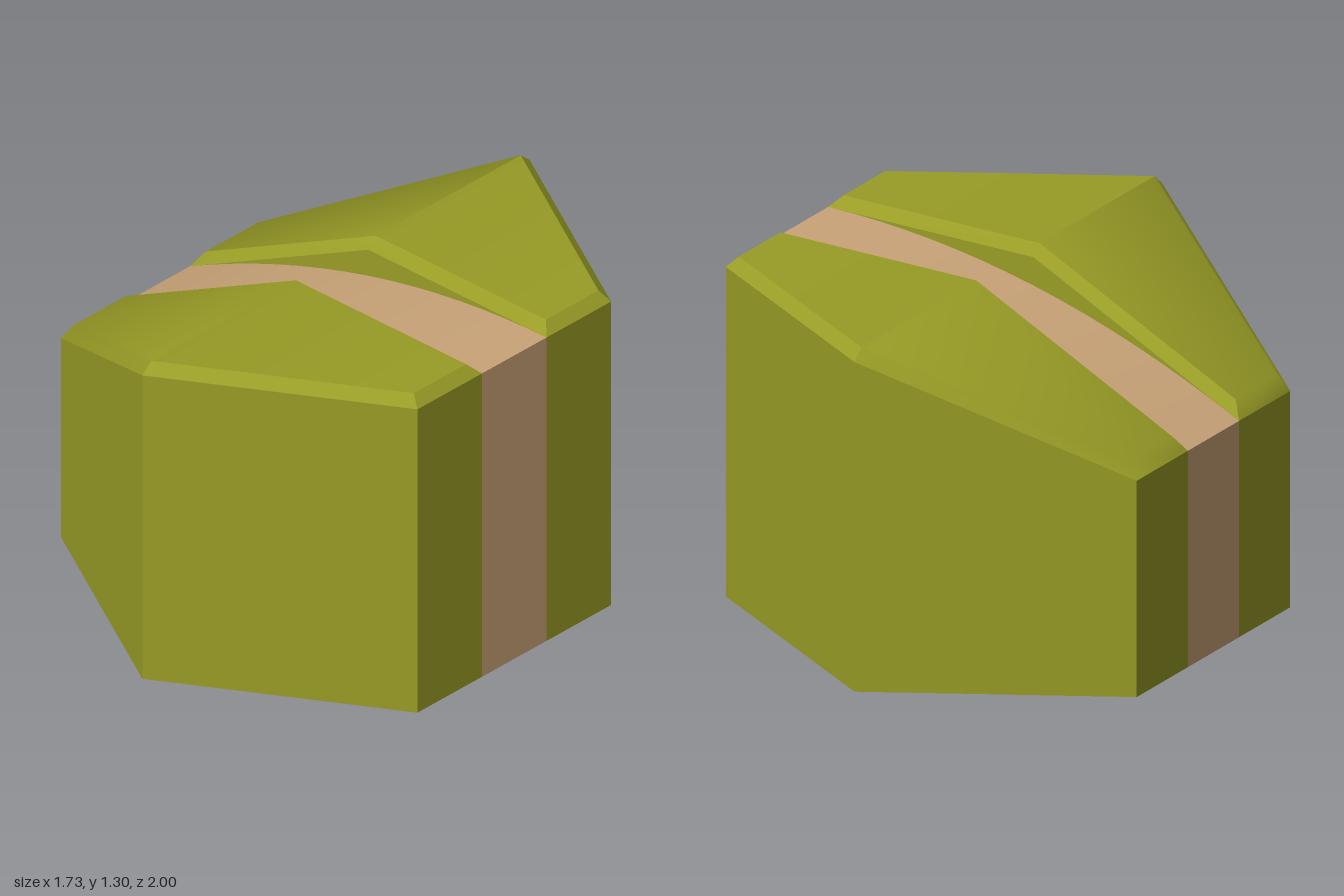
import * as THREE from 'three';
import { toCreasedNormals } from 'three/addons/utils/BufferGeometryUtils.js';

const W = Math.sqrt(3) / 2; // half width across the flats
const H = 1.26;             // rim height on the flat side
const ROAD = 1 / 6;         // half width of the road
const BEVEL = 0.04;
const STEPS = 16;           // segments along the road

const grass = new THREE.MeshStandardMaterial({ name: 'olive grass', color: 0x999d26 });
const sand = new THREE.MeshStandardMaterial({ name: 'sandy road', color: 0xcaa478 });

// rim height: flat for x > 0, falling towards -x
const rim = (x) => H + Math.min(0, 0.5 * x);

// quads [a, b, c, d], counter-clockwise from outside; flip for the mirrored half
function quadGeometry(quads, flip = false) {
  const pos = [];
  for (const [a, b, c, d] of quads) {
    for (const t of [[a, b, c], [a, c, d]]) {
      if (flip) t.reverse();
      t.forEach((p) => pos.push(...p));
    }
  }
  const g = new THREE.BufferGeometry();
  g.setAttribute('position', new THREE.Float32BufferAttribute(pos, 3));
  g.computeVertexNormals();
  return g;
}

function addMesh(group, name, geometry, material) {
  const mesh = new THREE.Mesh(geometry, material);
  mesh.name = name;
  group.add(mesh);
}

// road profile: leaves both ends along the ground and rounds off the crest
const roadPoints = new THREE.QuadraticBezierCurve(
  new THREE.Vector2(-W, rim(-W)),
  new THREE.Vector2(0, H),
  new THREE.Vector2(W, H)
).getPoints(STEPS);

// one half of the tile, on the side s of the road
function buildHalf(s) {
  const half = new THREE.Group();
  half.name = s > 0 ? 'frontHalf' : 'backHalf';
  const flip = s < 0;
  const at = (x, y, z) => [x, y, z * s];

  // outline from the road, around the outside, back along the road
  const outer = [[W, ROAD], [W, 0.5], [0, 1], [-W, 0.5], [-W, ROAD], [0, ROAD]];
  const wi = W - BEVEL;
  const k = wi / W;
  const zi = ROAD + BEVEL;
  const inner = [[wi, zi], [wi, 0.5 * k], [0, k], [-wi, 0.5 * k], [-wi, zi], [0, zi]];
  const low = outer.map(([x, z]) => at(x, rim(x), z));
  const high = inner.map(([x, z]) => at(x, rim(x) + BEVEL, z));
  const foot = outer.map(([x, z]) => at(x, 0, z));

  // bevelled cap with a soft crest
  const cap = outer.map((_, i) => {
    const j = (i + 1) % 6;
    return [low[j], low[i], high[i], high[j]];
  });
  cap.push([high[5], high[2], high[1], high[0]], [high[5], high[4], high[3], high[2]]);
  addMesh(half, 'cap', toCreasedNormals(quadGeometry(cap, flip), 0.7), grass);

  // outer walls
  const walls = [0, 1, 2, 3].map((i) => [foot[i + 1], foot[i], low[i], low[i + 1]]);
  addMesh(half, 'walls', quadGeometry(walls, flip), grass);

  // cutting beside the road
  const cutting = [];
  for (let i = 0; i < STEPS; i++) {
    const a = roadPoints[i], b = roadPoints[i + 1];
    cutting.push([
      at(b.x, b.y, ROAD), at(a.x, a.y, ROAD),
      at(a.x, rim(a.x), ROAD), at(b.x, rim(b.x), ROAD),
    ]);
  }
  addMesh(half, 'cutting', quadGeometry(cutting, flip), grass);
  return half;
}

export function createModel() {
  const model = new THREE.Group();
  model.name = 'slopedRoadTile';
  model.add(buildHalf(1), buildHalf(-1));

  // road surface
  const surface = [];
  for (let i = 0; i < STEPS; i++) {
    const a = roadPoints[i], b = roadPoints[i + 1];
    surface.push([[a.x, a.y, ROAD], [b.x, b.y, ROAD], [b.x, b.y, -ROAD], [a.x, a.y, -ROAD]]);
  }
  addMesh(model, 'road', toCreasedNormals(quadGeometry(surface), 0.7), sand);

  // road stripes down both ends
  const ends = [1, -1].map((s) => [
    [s * W, 0, s * ROAD], [s * W, 0, -s * ROAD],
    [s * W, rim(s * W), -s * ROAD], [s * W, rim(s * W), s * ROAD],
  ]);
  addMesh(model, 'roadEnds', quadGeometry(ends), sand);

  // hexagonal underside
  const base = new THREE.CircleGeometry(1, 6, Math.PI / 2);
  base.rotateX(Math.PI / 2);
  addMesh(model, 'base', base, grass);
  return model;
}
